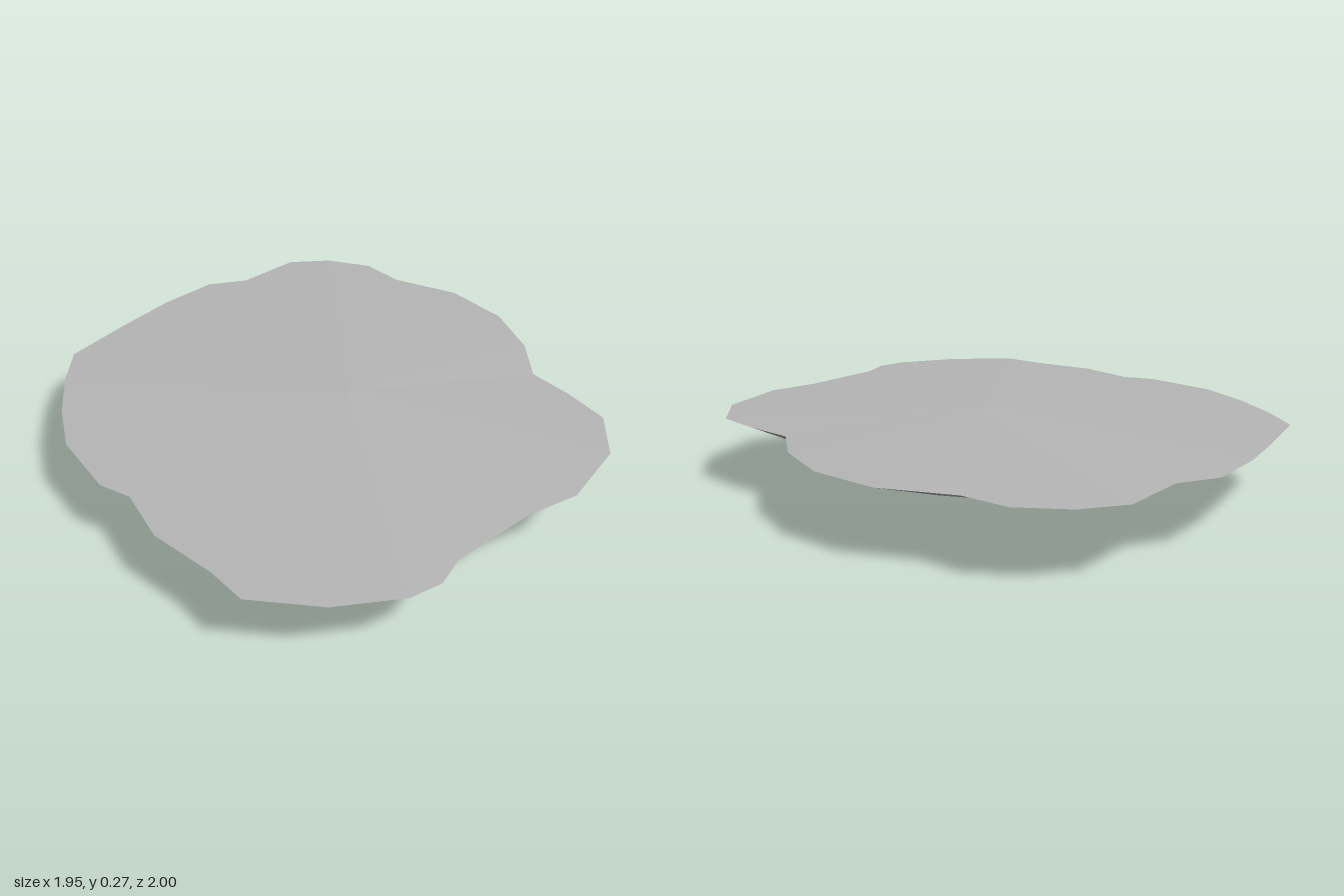
import * as THREE from 'three';

const stone = new THREE.MeshStandardMaterial({ color: 0xb6b6b6, flatShading: true });
stone.name = 'plain grey';

// Irregular rim outline as [x, z], clockwise seen from above
const OUTLINE = [
  [-0.52, -1.0], [-0.35, -0.96], [-0.09, -1.0], [0.16, -0.93], [0.36, -0.78], [0.49, -0.61],
  [0.66, -0.56], [0.83, -0.49], [0.95, -0.3], [0.97, -0.02], [0.9, 0.16], [0.84, 0.48],
  [0.86, 0.6], [0.82, 0.71], [0.66, 0.88], [0.44, 1.0], [0.29, 0.96], [0.04, 0.93],
  [-0.16, 0.83], [-0.28, 0.84], [-0.54, 0.74], [-0.71, 0.6], [-0.86, 0.44], [-0.97, 0.29],
  [-0.98, 0.0], [-0.98, -0.23], [-0.95, -0.46], [-0.85, -0.58], [-0.81, -0.83], [-0.69, -0.94],
];
const CX = 0.05, CZ = -0.04;

// Outline shrunk towards the centre; round pulls it towards a circle
function outlineRing(scale, y, round = 0) {
  return OUTLINE.map(([x, z]) => {
    const dx = x - CX, dz = z - CZ, r = Math.hypot(dx, dz);
    const k = scale * (1 - round + round * 0.98 / r);
    return [CX + dx * k, y, CZ + dz * k];
  });
}

// Slightly uneven circle with the same winding as the outline
function bumpRing(x, z, radius, y, sides) {
  return Array.from({ length: sides }, (_, i) => {
    const t = (i / sides) * Math.PI * 2;
    const r = radius * (1 + 0.04 * Math.sin(3 * t + x * 9));
    return [x + Math.sin(t) * r, y, z - Math.cos(t) * r];
  });
}

// Skins rings from the outside inwards and closes them at a centre point
function skin(name, rings, centre, faceUp) {
  const pos = [];
  const tri = (a, b, c) => pos.push(...a, ...(faceUp ? c : b), ...(faceUp ? b : c));
  const n = rings[0].length;
  for (let i = 0; i < n; i++) {
    const j = (i + 1) % n;
    for (let k = 0; k + 1 < rings.length; k++) {
      const outer = rings[k], inner = rings[k + 1];
      tri(inner[i], outer[i], outer[j]);
      tri(inner[i], outer[j], inner[j]);
    }
    const last = rings[rings.length - 1];
    tri(centre, last[i], last[j]);
  }
  const geometry = new THREE.BufferGeometry();
  geometry.setAttribute('position', new THREE.Float32BufferAttribute(pos, 3));
  geometry.computeVertexNormals();
  const mesh = new THREE.Mesh(geometry, stone);
  mesh.name = name;
  return mesh;
}

export function createModel() {
  const group = new THREE.Group();
  group.name = 'shallowRockSlab';

  // Gently peaked upper face
  group.add(skin('topSurface', [outlineRing(1, 0.24)], [CX, 0.273, CZ - 0.02], true));

  // Sloping underside with a flat floor
  group.add(skin('underside', [
    outlineRing(1, 0.24),
    outlineRing(0.47, 0.072, 0.3),
    outlineRing(0.365, 0.04, 0.5),
  ], [CX, 0.04, CZ], false));

  // Flat-topped bumps hanging below: x, z, base radius, face radius, lowest y, sides
  const bumps = [
    ['smallBump', -0.155, -0.285, 0.1, 0.075, 0.025, 10],
    ['largeBump', 0.15, -0.02, 0.185, 0.145, 0.014, 16],
    ['lowestBump', 0.215, 0.2, 0.115, 0.08, 0, 10],
  ];
  for (const [name, x, z, base, face, low, sides] of bumps) {
    group.add(skin(name, [
      bumpRing(x, z, base, 0.045, sides),
      bumpRing(x, z, base * 0.97, low + 0.014, sides),
      bumpRing(x, z, face, low, sides),
    ], [x, low, z], false));
  }
  return group;
}
